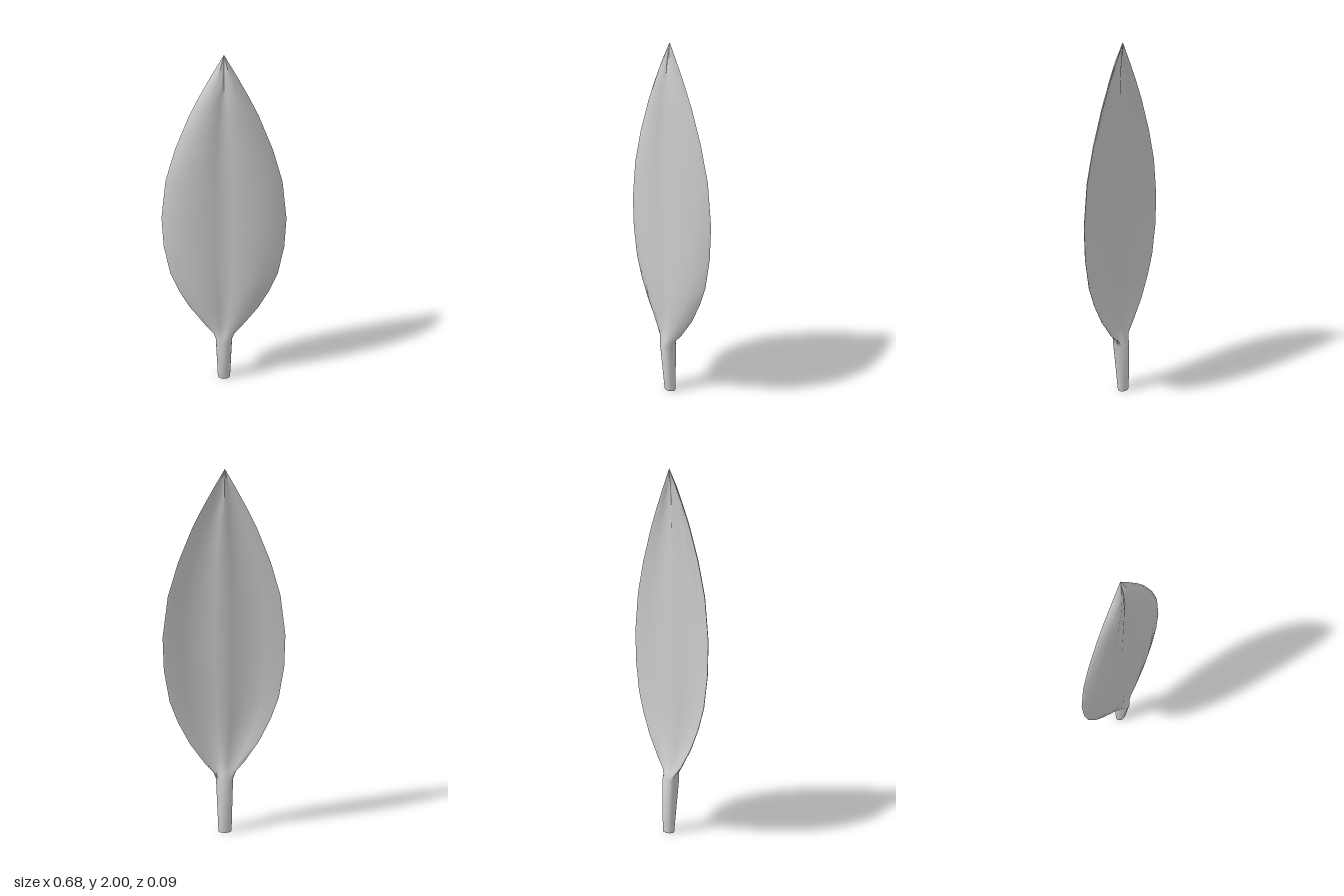
import * as THREE from 'three';
import { toCreasedNormals } from 'three/addons/utils/BufferGeometryUtils.js';

// Half cross-section of the blade: [share of half width, height share above the rim]
const half = [[1, 0], [0.97, 0.2], [0.72, 0.7], [0.45, 1], [0.15, 0.84], [0, 0.62]];
const front = [...half, ...half.slice(0, 5).reverse().map(([u, h]) => [-u, h])];
const back = front.slice(1, -1).reverse();
const RIM = -0.01;
const THICK = 0.012;

// Rows of the blade: y, half width, bulge, thickness share, roundness (blend into the stem)
const bladeRows = [
  [0.35, 0.065, 0.042, 1, 0.6],
  [0.4, 0.11, 0.038, 1, 0.2],
  [0.52, 0.195, 0.046, 1, 0],
  [0.645, 0.26, 0.05, 1, 0],
  [0.765, 0.305, 0.051, 1, 0],
  [0.94, 0.334, 0.051, 1, 0],
  [1.12, 0.338, 0.051, 1, 0],
  [1.34, 0.307, 0.051, 1, 0],
  [1.52, 0.25, 0.05, 1, 0],
  [1.7, 0.173, 0.047, 1, 0],
  [1.8, 0.12, 0.043, 1, 0],
  [1.9, 0.062, 0.03, 0.8, 0],
  [2, 0.001, 0.002, 0.1, 0],
];

// Oval ring with the same point count as the blade rings
function ovalRing(y, rx, zFront, zBack) {
  const n = front.length + back.length;
  const mid = (zFront + zBack) / 2, rz = (zFront - zBack) / 2;
  return Array.from({ length: n }, (_, i) => {
    const a = (i / n) * Math.PI * 2;
    return new THREE.Vector3(Math.cos(a) * rx, y, mid + Math.sin(a) * rz);
  });
}

// Thin, double-bulged ring: over the front, then back along the hollow rear
function bladeRing([y, w, bulge, thick, round]) {
  const ring = [
    ...front.map(([u, h]) => new THREE.Vector3(u * w, y, RIM + h * bulge)),
    ...back.map(([u, h]) => new THREE.Vector3(u * w * 0.98, y,
      RIM + Math.max(h * bulge - THICK * thick, 0.001 * thick))),
  ];
  const oval = ovalRing(y, w, 0.036, -0.036);
  return ring.map((p, i) => p.lerp(oval[i], round));
}

// Skin over a stack of rings, with an optional flat cap at the bottom
function loft(rings, capped) {
  const n = rings[0].length;
  const pos = rings.flat().flatMap((p) => p.toArray());
  const index = [];
  for (let i = 0; i < rings.length - 1; i++) {
    for (let j = 0; j < n; j++) {
      const a = i * n + j, b = i * n + ((j + 1) % n);
      index.push(a, a + n, b, b, a + n, b + n);
    }
  }
  if (capped) {
    const c = rings[0].reduce((s, p) => s.add(p), new THREE.Vector3()).divideScalar(n);
    pos.push(...c.toArray());
    for (let j = 0; j < n; j++) index.push(rings.length * n, j, (j + 1) % n);
  }
  const geo = new THREE.BufferGeometry();
  geo.setAttribute('position', new THREE.Float32BufferAttribute(pos, 3));
  geo.setIndex(index);
  return toCreasedNormals(geo, Math.PI / 3);
}

export function createModel() {
  const group = new THREE.Group();
  group.name = 'leaf';
  const material = new THREE.MeshStandardMaterial({ color: 0xcccccc, side: THREE.DoubleSide });

  // Stem, flaring upward, and blade share one continuous skin
  const rings = [
    ovalRing(0, 0.038, 0.015, -0.045),
    ovalRing(0.31, 0.049, 0.047, -0.044),
    ...bladeRows.map(bladeRing),
  ];
  const leaf = new THREE.Mesh(loft(rings, true), material);
  leaf.name = 'bladeAndStem';
  group.add(leaf);
  return group;
}
